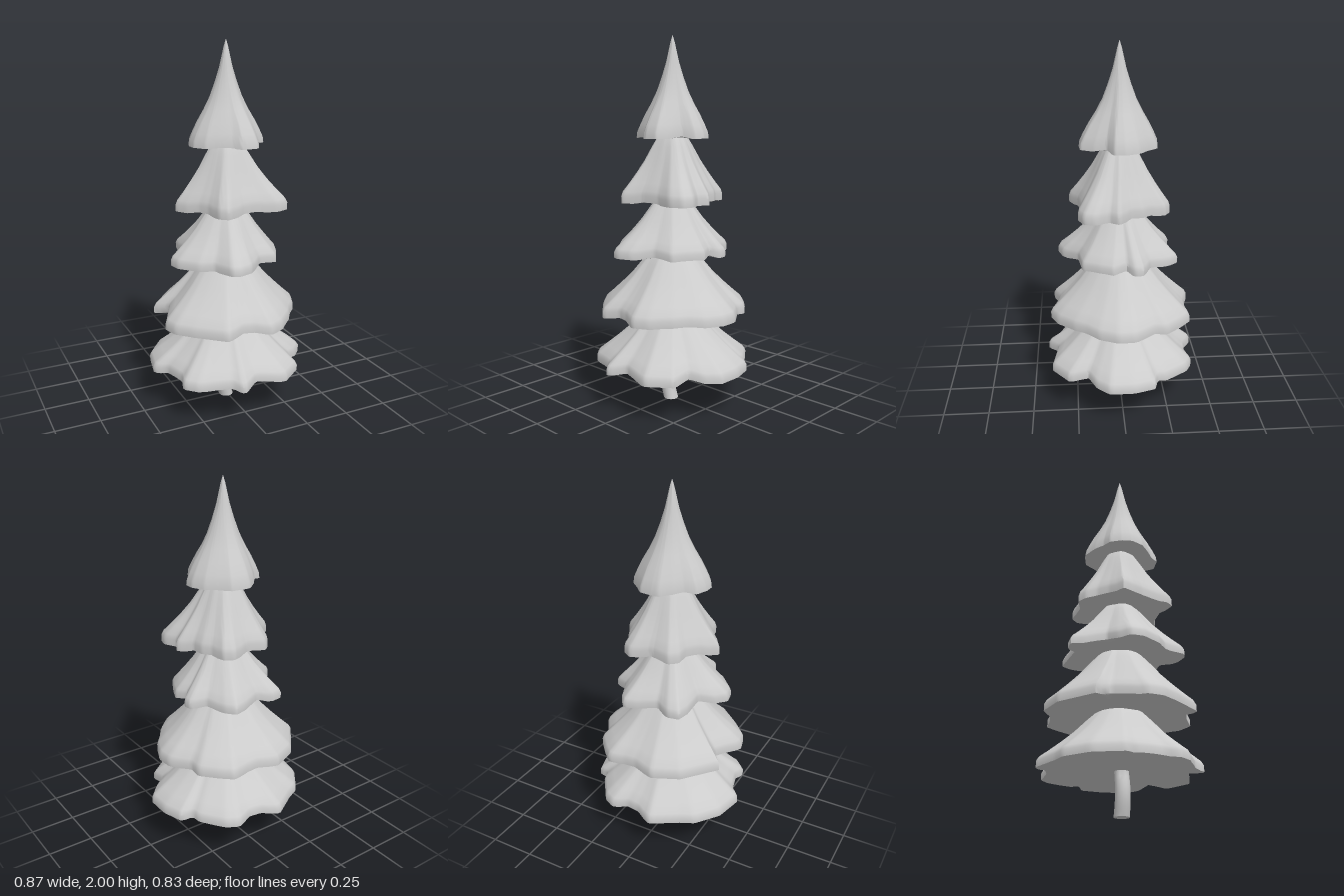
import * as THREE from 'three';
import { toCreasedNormals } from 'three/addons/utils/BufferGeometryUtils.js';

const SEGMENTS = 144;

// Rim outlines seen from above, as x, z pairs
const RIMS = {
  bottom: [-.435, -.01, -.4, -.175, -.305, -.3, -.23, -.335, -.085, -.425, .01, -.375, .085, -.365, .17, -.395, .235, -.36,
    .325, -.235, .335, -.185, .4, -.165, .435, -.05, .435, .08, .37, .15, .3, .19, .297, .297, .175, .39, .01, .355,
    -.085, .42, -.125, .36, -.3, .3, -.36, .24, -.34, .17, -.375, .045],
  lower: [-.375, -.155, -.23, -.33, -.085, -.395, .03, -.36, .1, -.36, .19, -.375, .25, -.32, .325, -.235, .325, -.17,
    .4, -.06, .405, .03, .36, .13, .3, .2, .26, .26, .17, .35, .09, .39, 0, .35, -.06, .34, -.16, .375, -.3, .25,
    -.375, .17, -.397, .09, -.35, 0, -.31, -.08],
  middle: [-.205, -.2, -.19, -.275, -.125, -.285, -.05, -.245, .07, -.29, .13, -.305, .17, -.255, .21, -.15, .29, -.105,
    .295, -.06, .25, -.02, .28, .05, .25, .12, .2, .21, .09, .23, 0, .315, -.07, .34, -.115, .33, -.165, .22,
    -.24, .18, -.32, .09, -.335, .02, -.28, -.04, -.21, -.09],
  upper: [-.15, -.2, -.107, -.237, 0, -.22, .112, -.26, .16, -.228, .177, -.15, .21, -.105, .22, -.047, .285, .02,
    .25, .07, .285, .14, .27, .2, .2, .23, .1, .21, 0, .225, -.11, .275, -.15, .24, -.17, .15, -.2, .1,
    -.25, .05, -.29, -.01, -.205, -.08, -.16, -.14],
  top: [0, -.2, .08, -.19, .12, -.147, .18, -.09, .21, -.02, .205, .04, .14, .075, .125, .14, .085, .21, 0, .215,
    -.04, .175, -.11, .14, -.167, .11, -.207, .047, -.207, -.01, -.184, -.075, -.126, -.105, -.09, -.15, -.03, -.198],
};

// Profiles from top to underside: fraction of rim radius, fraction of height
const SKIRT = [[.2, 1.08], [.32, .97], [.43, .83], [.58, .62], [.72, .45], [.86, .29], [.97, .17], [1, .1], [1, 0],
  [.95, 0], [.8, .01], [.5, .025], [.25, .035], [0, .035]];
const SPIRE = [[0, 1], [.06, .93], [.18, .74], [.3, .6], [.44, .46], [.6, .34], [.77, .23], [.9, .13], [.98, .06],
  [1, 0], [.95, 0], [.75, .005], [.4, .015], [0, .02]];

// Radius of an outline at evenly spaced angles, along straight chords
function radii(flat) {
  const pts = [];
  for (let i = 0; i < flat.length; i += 2) {
    pts.push({ a: Math.atan2(flat[i + 1], flat[i]), r: Math.hypot(flat[i], flat[i + 1]) });
  }
  pts.sort((p, q) => p.a - q.a);
  const first = pts[0], last = pts[pts.length - 1];
  pts.unshift({ a: last.a - 2 * Math.PI, r: last.r });
  pts.push({ a: first.a + 2 * Math.PI, r: first.r });
  return Array.from({ length: SEGMENTS }, (_, j) => {
    const a = -Math.PI + (j / SEGMENTS) * 2 * Math.PI;
    const k = pts.findIndex((p) => p.a > a);
    const p = pts[k - 1], q = pts[k];
    return (p.r * q.r * Math.sin(q.a - p.a)) / (p.r * Math.sin(a - p.a) + q.r * Math.sin(q.a - a));
  });
}

// Skirt of foliage: round at the neck, taking on the wavy outline at the rim
function foliage(outline, base, height, profile) {
  const rim = radii(outline);
  const mean = rim.reduce((s, r) => s + r, 0) / SEGMENTS;
  const pos = [], index = [];
  profile.forEach(([w, h], i) => {
    for (let j = 0; j < SEGMENTS; j++) {
      const a = -Math.PI + (j / SEGMENTS) * 2 * Math.PI;
      const r = w * THREE.MathUtils.lerp(mean, rim[j], w);
      // Folds between the lobes sit a little higher at the rim
      const lift = Math.max(0, mean - rim[j]) * .35 * w ** 4;
      pos.push(Math.cos(a) * r, base + h * height + lift, Math.sin(a) * r);
      if (i === 0) continue;
      const n = (j + 1) % SEGMENTS, u = (i - 1) * SEGMENTS, v = i * SEGMENTS;
      index.push(u + j, u + n, v + j, u + n, v + n, v + j);
    }
  });
  const geo = new THREE.BufferGeometry();
  geo.setAttribute('position', new THREE.Float32BufferAttribute(pos, 3));
  geo.setIndex(index);
  return toCreasedNormals(geo, .95);
}

export function createModel() {
  const group = new THREE.Group();
  const material = new THREE.MeshStandardMaterial({ color: 0xcccccc, side: THREE.DoubleSide });
  const add = (name, geo) => {
    const mesh = new THREE.Mesh(geo, material);
    mesh.name = name;
    group.add(mesh);
  };

  // Bent trunk: a cylinder whose rings slide sideways along the bend, with a level foot
  const trunk = new THREE.CylinderGeometry(.037, .04, .26, 16, 12).translate(0, .13, 0);
  const p = trunk.attributes.position;
  for (let i = 0; i < p.count; i++) {
    const bend = Math.sin(Math.min(1, p.getY(i) / .22) * Math.PI);
    p.setX(i, p.getX(i) - .005 - .02 * bend);
    p.setZ(i, p.getZ(i) + .008 + .004 * bend);
  }
  add('trunk', toCreasedNormals(trunk, .8));

  // Five tiers of foliage, from the ground up
  [
    ['bottomFoliage', RIMS.bottom, .215, .315, SKIRT],
    ['lowerFoliage', RIMS.lower, .505, .345, SKIRT],
    ['middleFoliage', RIMS.middle, .835, .3, SKIRT],
    ['upperFoliage', RIMS.upper, 1.12, .355, SKIRT],
    ['topFoliage', RIMS.top, 1.46, .54, SPIRE],
  ].forEach(([name, outline, base, height, profile]) => add(name, foliage(outline, base, height, profile)));

  return group;
}
